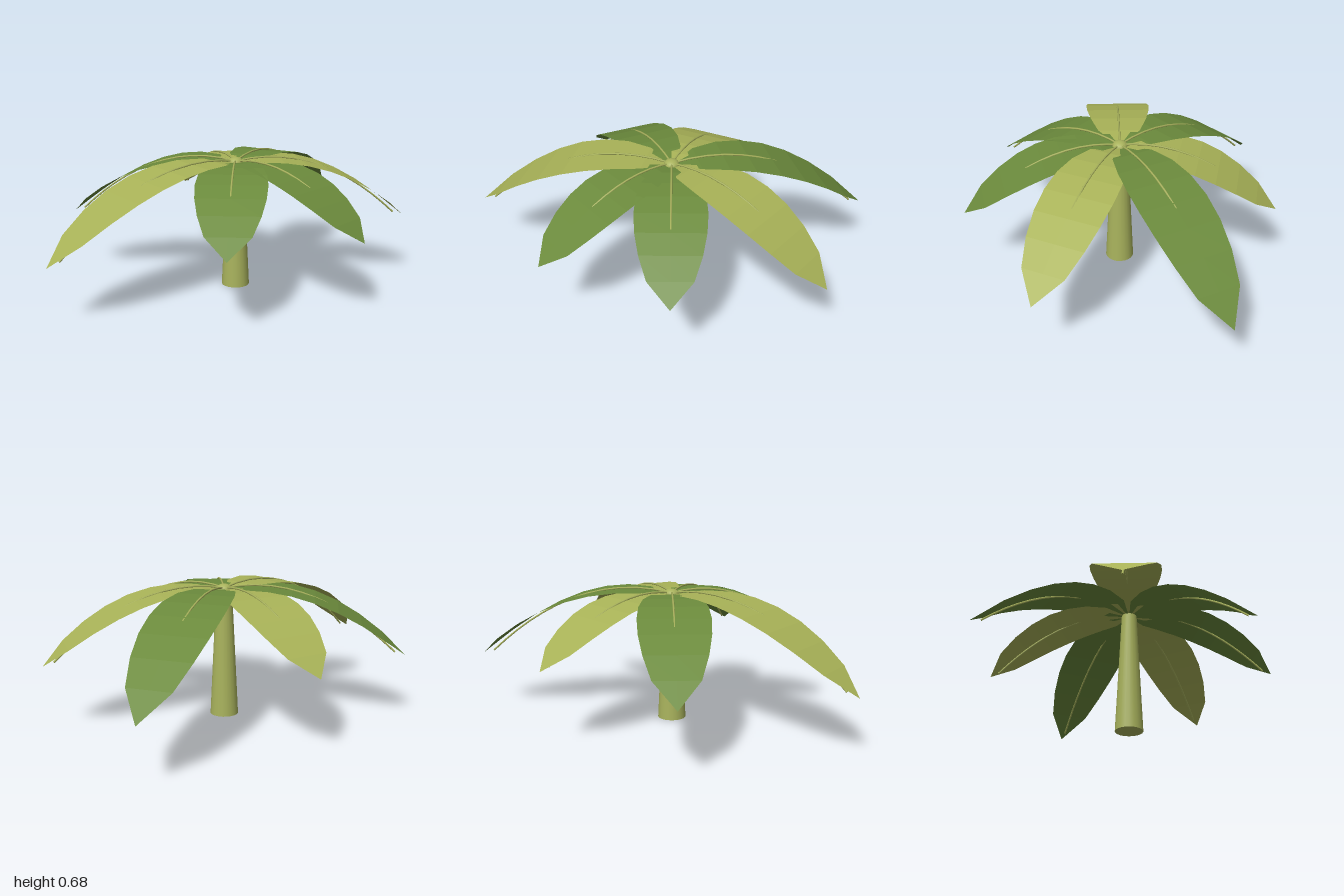
import * as THREE from 'three';

const mat = (name, color, side = THREE.FrontSide) => {
  const m = new THREE.MeshStandardMaterial({ color, side });
  m.name = name;
  return m;
};

const CROWN_Y = 0.65;

// Arching spine that rises a little, then droops to the tip
function spine(length, drop, startY = 0) {
  return new THREE.QuadraticBezierCurve3(
    new THREE.Vector3(0, startY, 0),
    new THREE.Vector3(length / 2, startY + 0.11 * length, 0),
    new THREE.Vector3(length, startY - drop, 0)
  );
}

// Flat-across blade, bent along the spine and tapered at both ends
function bladeGeometry(length, drop) {
  const curve = spine(length, drop);
  const plane = new THREE.PlaneGeometry(1, 2, 8, 2).rotateX(-Math.PI / 2);
  const pos = plane.attributes.position;
  for (let i = 0; i < pos.count; i++) {
    const t = THREE.MathUtils.clamp(pos.getX(i) + 0.5, 0, 1);
    const p = curve.getPoint(t);
    const half = 0.17 * Math.sqrt(Math.max(0, Math.sin(Math.PI * t)));
    pos.setXYZ(i, p.x, p.y, pos.getZ(i) * half);
  }
  const geo = plane.toNonIndexed();
  geo.computeVertexNormals();
  return geo;
}

export function createModel() {
  const green = mat('leaf green', 0x6b8a3c, THREE.DoubleSide);
  const lime = mat('leaf yellow green', 0xa8b257, THREE.DoubleSide);
  const stem = mat('stem green', 0xa8b25c);

  const palm = new THREE.Group();
  palm.name = 'palm';
  palm.position.set(0.038, 0, -0.009);

  // Tapered trunk
  const trunk = new THREE.Mesh(new THREE.CylinderGeometry(0.04, 0.072, CROWN_Y, 20), stem);
  trunk.name = 'trunk';
  trunk.position.y = CROWN_Y / 2;
  palm.add(trunk);

  // Bud where the leaves meet
  const bud = new THREE.Mesh(new THREE.SphereGeometry(0.039, 16, 12), stem);
  bud.name = 'bud';
  bud.scale.y = 0.7;
  bud.position.y = CROWN_Y + 0.002;
  palm.add(bud);

  // Seven leaves in three repeating sizes and two alternating greens
  const sizes = [[0.78, 0.265], [0.91, 0.315], [1.04, 0.355]];
  for (let i = 0; i < 7; i++) {
    const [length, drop] = sizes[i % 3];
    const leaf = new THREE.Group();
    leaf.name = `leaf${i + 1}`;
    leaf.position.y = CROWN_Y;
    leaf.rotation.y = THREE.MathUtils.degToRad(-80 + (i * 360) / 7);

    const blade = new THREE.Mesh(bladeGeometry(length, drop), i % 2 ? lime : green);
    blade.name = 'blade';

    // Midrib lies on top near the bud and passes below the outer half
    const ribCurve = spine(length * 0.94, drop * 0.97, 0.008);
    const rib = new THREE.Mesh(new THREE.TubeGeometry(ribCurve, 12, 0.005, 6), stem);
    rib.name = 'midrib';

    leaf.add(blade, rib);
    palm.add(leaf);
  }

  const model = new THREE.Group();
  model.name = 'palmTree';
  model.add(palm);
  return model;
}
